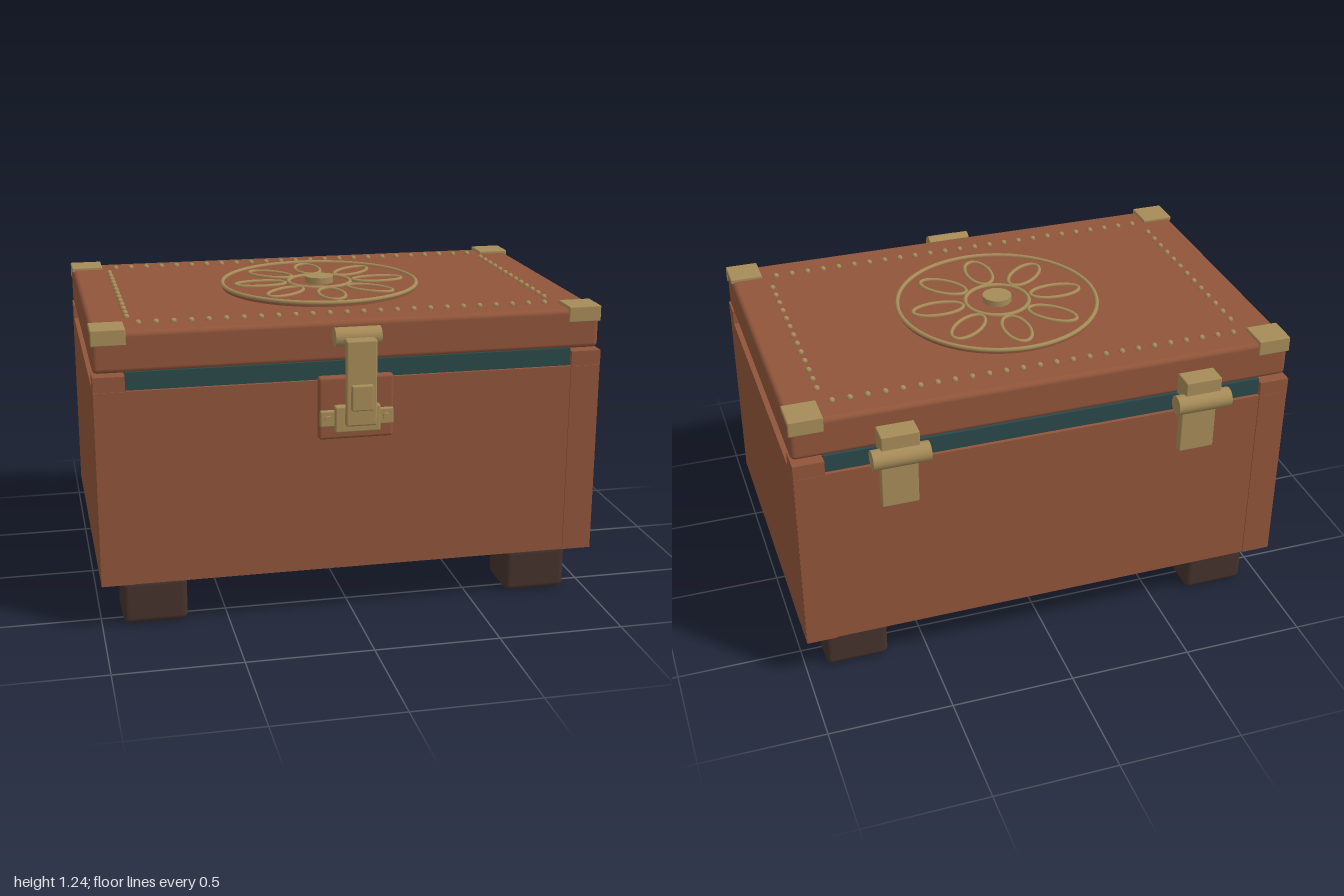
import * as THREE from 'three';
import { RoundedBoxGeometry } from 'three/addons/geometries/RoundedBoxGeometry.js';

export function createModel() {
  const root = new THREE.Group();
  root.name = 'chest';
  const material = (name, color) => {
    const m = new THREE.MeshStandardMaterial({ color });
    m.name = name;
    return m;
  };
  const leather = material('brown leather', 0x90553a);
  const brass = material('aged brass', 0xa68b58);
  const lining = material('teal lining', 0x2b484a);
  const darkWood = material('dark wood', 0x45322b);

  const add = (name, geometry, mat, parent = root) => {
    const mesh = new THREE.Mesh(geometry, mat);
    mesh.name = name;
    parent.add(mesh);
    return mesh;
  };
  // Box given by its limits on each axis; a radius rounds its edges
  const block = (name, mat, [x0, x1], [y0, y1], [z0, z1], radius = 0) => {
    const size = [x1 - x0, y1 - y0, z1 - z0];
    const g = radius
      ? new RoundedBoxGeometry(...size, 3, radius)
      : new THREE.BoxGeometry(...size);
    g.translate((x0 + x1) / 2, (y0 + y1) / 2, (z0 + z1) / 2);
    return add(name, g, mat);
  };
  // Cylinder lying along x
  const barrel = (name, mat, x, y, z, radius, length) => {
    const g = new THREE.CylinderGeometry(radius, radius, length, 20);
    g.rotateZ(Math.PI / 2).translate(x, y, z);
    return add(name, g, mat);
  };
  const span = (c, half) => [c - half, c + half];

  // Body, base board and lining
  block('body', leather, [-1, 1], [0.195, 0.975], [-0.685, 0.635]);
  block('baseBoard', darkWood, [-0.92, 0.92], [0.16, 0.2], [-0.6, 0.55], 0.012);
  block('frontLining', lining, [-0.88, 0.88], [0.97, 1.045], [0.6, 0.622]);
  block('backLining', lining, [-0.88, 0.88], [0.97, 1.045], [-0.67, -0.648]);
  for (const s of [-1, 1]) {
    block('sideLining', lining, span(s * 0.965, 0.012), [0.97, 1.045], [-0.575, 0.53]);
  }

  // Corner posts, post caps, feet and lid corners
  for (const s of [-1, 1]) {
    for (const front of [true, false]) {
      const zs = front ? [0.545, 0.64] : [-0.69, -0.585];
      block('cornerPost', leather, span(s * 0.9395, 0.0595), [0.196, 0.975], zs);
      block('postCap', leather, span(s * 0.94, 0.06), [0.976, 1.035], zs);
      block('foot', darkWood, span(s * 0.788, 0.128), [0, 0.185],
        front ? [0.358, 0.58] : [-0.625, -0.402], 0.025);
      block('lidCornerPlate', brass, span(s * 0.935, 0.066), [1.19, 1.212],
        front ? [0.493, 0.623] : [-0.669, -0.542], 0.005);
      block('lidCornerFlap', brass, span(s * 0.935, 0.066), [1.148, 1.205],
        front ? [0.609, 0.623] : [-0.669, -0.655], 0.005);
    }
  }

  // Lid
  block('lid', leather, [-0.998, 0.998], [1.04, 1.2], [-0.663, 0.615], 0.02);

  // Rows of studs round the lid
  const stud = new THREE.SphereGeometry(0.012, 10, 6);
  const studs = new THREE.Group();
  studs.name = 'lidStuds';
  root.add(studs);
  for (let i = 0; i < 25; i++) {
    for (const z of [-0.55, 0.492]) {
      add('stud', stud, brass, studs).position.set(-0.81 + i * 0.0675, 1.203, z);
    }
  }
  for (let i = 0; i < 13; i++) {
    for (const x of [-0.845, 0.845]) {
      add('stud', stud, brass, studs).position.set(x, 1.203, -0.45 + i * 0.07);
    }
  }

  // Flower medallion
  const medallion = new THREE.Group();
  medallion.name = 'flowerMedallion';
  medallion.position.set(0, 1.2, -0.028);
  root.add(medallion);
  add('medallionDisc', new THREE.CylinderGeometry(0.407, 0.407, 0.016, 64), leather, medallion)
    .position.y = 0.008;
  const ring = (name, radius) => {
    const g = new THREE.TorusGeometry(radius, 0.009, 8, 64).rotateX(Math.PI / 2);
    add(name, g, brass, medallion).position.y = 0.017;
  };
  ring('outerRing', 0.407);
  ring('innerRing', 0.13);
  const points = [];
  for (let i = 0; i < 20; i++) {
    const a = (i / 20) * Math.PI * 2;
    points.push(new THREE.Vector3(0.25 + 0.105 * Math.cos(a), 0.017, 0.052 * Math.sin(a)));
  }
  const petal = new THREE.TubeGeometry(new THREE.CatmullRomCurve3(points, true), 40, 0.008, 8, true);
  for (let i = 0; i < 8; i++) {
    add('petal', petal, brass, medallion).rotation.y = (i * Math.PI) / 4;
  }
  add('flowerCentre', new THREE.CylinderGeometry(0.06, 0.06, 0.042, 12), brass, medallion)
    .position.y = 0.021;

  // Latch
  block('latchBacking', leather, [-0.148, 0.148], [0.745, 0.995], [0.63, 0.67], 0.012);
  block('latchBase', brass, [-0.09, 0.09], [0.778, 0.885], [0.665, 0.7], 0.008);
  block('latchEars', brass, [-0.145, 0.145], [0.8, 0.865], [0.665, 0.685], 0.006);
  for (const x of [-0.115, 0.115]) {
    const g = new THREE.CylinderGeometry(0.015, 0.015, 0.02, 12).rotateX(Math.PI / 2);
    add('latchBolt', g, brass).position.set(x, 0.832, 0.688);
  }
  barrel('latchBarrel', brass, 0, 1.153, 0.675, 0.037, 0.18);
  block('haspArm', brass, [-0.06, 0.06], [1.13, 1.156], [0.67, 0.758], 0.008);
  block('hasp', brass, [-0.06, 0.06], [0.82, 1.15], [0.73, 0.758], 0.008);
  block('haspButton', brass, [-0.042, 0.042], [0.885, 0.985], [0.75, 0.777], 0.006);

  // Hinges on the back
  for (const x of [-0.605, 0.605]) {
    barrel('hingeBarrel', brass, x, 1.035, -0.737, 0.039, 0.222);
    block('hingeUpperLeaf', brass, span(x, 0.074), [1.04, 1.13], [-0.745, -0.655], 0.005);
    block('hingeLowerLeaf', brass, span(x, 0.072), [0.8, 1.03], [-0.717, -0.68], 0.005);
  }
  return root;
}
